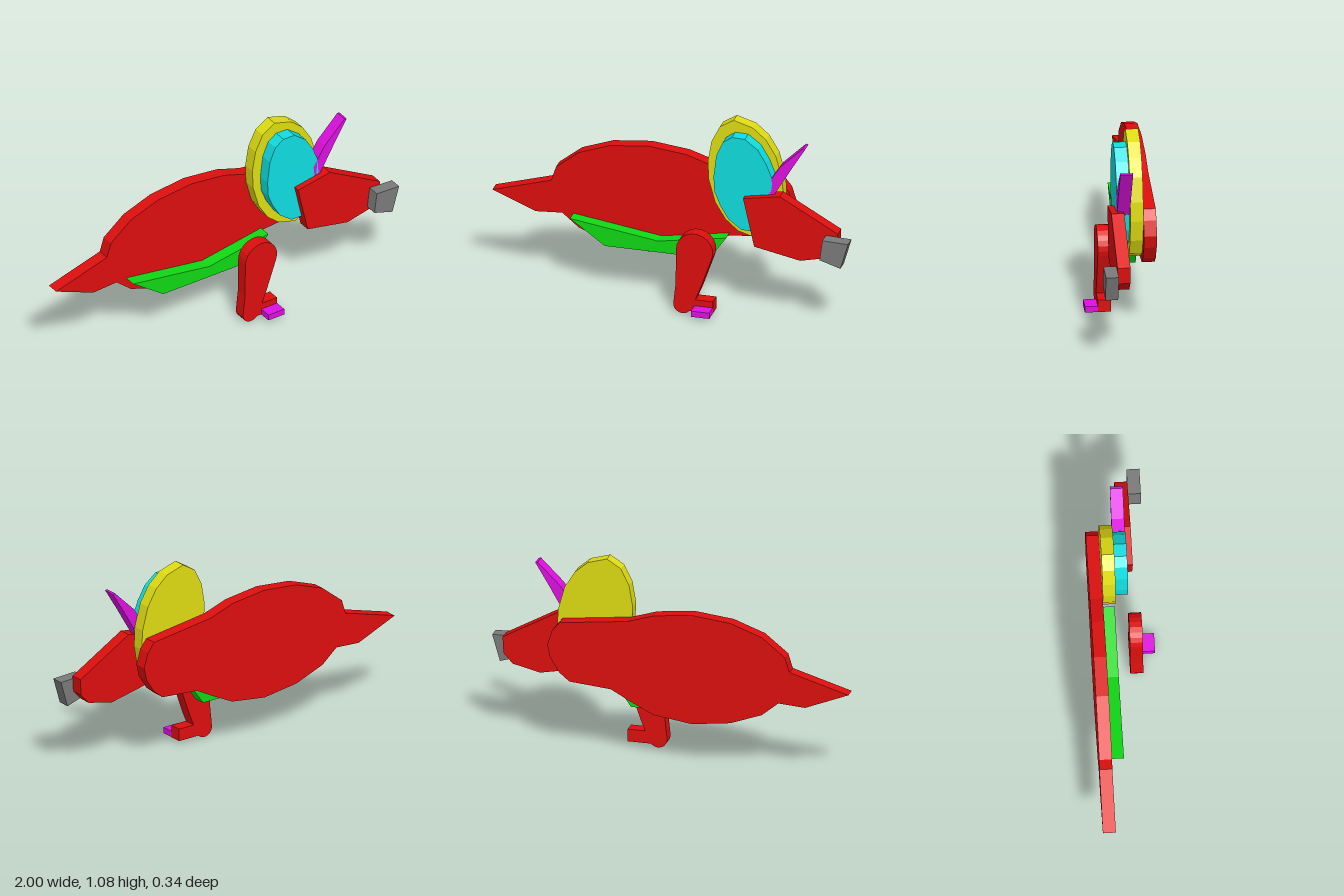
import * as THREE from 'three';

const mat = (name, color) => {
  const m = new THREE.MeshStandardMaterial({ color });
  m.name = name;
  return m;
};

// Flat slab cut from an outline, spanning z0 to z0 + depth
function slab(name, points, z0, material, depth = 0.068) {
  const shape = new THREE.Shape(points.map(([x, y]) => new THREE.Vector2(x, y)));
  const geo = new THREE.ExtrudeGeometry(shape, { depth, bevelEnabled: false });
  geo.translate(0, 0, z0);
  const mesh = new THREE.Mesh(geo, material);
  mesh.name = name;
  return mesh;
}

// Completes a half outline by point symmetry about (cx, cy)
const oval = (half, cx, cy) => [...half, ...half.map(([x, y]) => [2 * cx - x, 2 * cy - y])];

// Points along a circular arc, angles in degrees
function arc(cx, cy, r, from, to, n) {
  return Array.from({ length: n + 1 }, (_, i) => {
    const a = THREE.MathUtils.degToRad(from + (to - from) * i / n);
    return [cx + r * Math.cos(a), cy + r * Math.sin(a)];
  });
}

export function createModel() {
  const red = mat('red', 0xdd0e0e);
  const yellow = mat('yellow', 0xdedc12);
  const cyan = mat('cyan', 0x10dde0);
  const green = mat('green', 0x10d814);
  const magenta = mat('magenta', 0xdd10e0);
  const grey = mat('grey', 0x7a7a7a);
  const model = new THREE.Group();
  model.name = 'hornedDinosaur';

  // Body with tail and neck, the rearmost layer
  const body = slab('body', [
    [-1, 0.485], [-0.68, 0.58], [-0.655, 0.66], [-0.53, 0.76], [-0.36, 0.822], [-0.15, 0.845],
    [0.055, 0.822], [0.2, 0.775], [0.57, 0.73], [0.61, 0.68], [0.635, 0.6], [0.62, 0.53],
    [0.57, 0.45], [0.515, 0.405], [0.29, 0.385], [0.19, 0.33], [0.06, 0.265],
    [-0.15, 0.235], [-0.36, 0.262], [-0.53, 0.325], [-0.62, 0.4], [-0.765, 0.39],
  ], -0.17, red);

  // Belly patch
  const belly = slab('belly', [
    [-0.56, 0.405], [-0.37, 0.27], [0.2, 0.27], [0.29, 0.4], [-0.08, 0.335],
  ], -0.102, green);

  // Neck frill: yellow rim with a cyan centre in front
  const frillRim = slab('frillRim', oval([
    [0.33, 1.087], [0.255, 1.04], [0.21, 0.95], [0.19, 0.834],
    [0.195, 0.727], [0.23, 0.6], [0.285, 0.51], [0.355, 0.45],
  ], 0.395, 0.753), -0.102, yellow);
  const frillCentre = slab('frillCentre', oval([
    [0.34, 1.02], [0.29, 0.985], [0.255, 0.905], [0.24, 0.78],
    [0.245, 0.695], [0.275, 0.62], [0.32, 0.545], [0.39, 0.492],
  ], 0.4, 0.755), -0.034, cyan);

  // Horn
  const horn = slab('horn', [
    [0.54, 0.68], [0.56, 0.7], [0.665, 0.88], [0.738, 1], [0.725, 1.003], [0.6, 0.88], [0.53, 0.77],
  ], -0.034, magenta);

  // Head and beak
  const head = slab('head', [
    [0.41, 0.69], [0.47, 0.42], [0.72, 0.37], [0.87, 0.405], [0.92, 0.46], [0.925, 0.55], [0.61, 0.727],
  ], 0, red);
  const beak = slab('beak', [
    [0.86, 0.535], [0.845, 0.42], [0.958, 0.385], [1, 0.53],
  ], 0.068, grey);

  // Leg: rounded thigh, rounded heel and a toe
  const leg = slab('leg', [
    ...arc(0.155, 0.368, 0.1, -20, 180, 12),
    [0.053, 0.17],
    ...arc(0.09, 0.052, 0.05, 165, 320, 8),
    [0.255, 0.02], [0.255, 0.088], [0.16, 0.088], [0.185, 0.15],
  ], 0.034, red);

  // Claw on the outer face of the toe
  const claw = slab('claw', [
    [0.155, 0.02], [0.255, 0.02], [0.255, 0.053], [0.155, 0.053],
  ], 0.102, magenta);

  model.add(body, belly, frillRim, frillCentre, horn, head, beak, leg, claw);
  return model;
}
